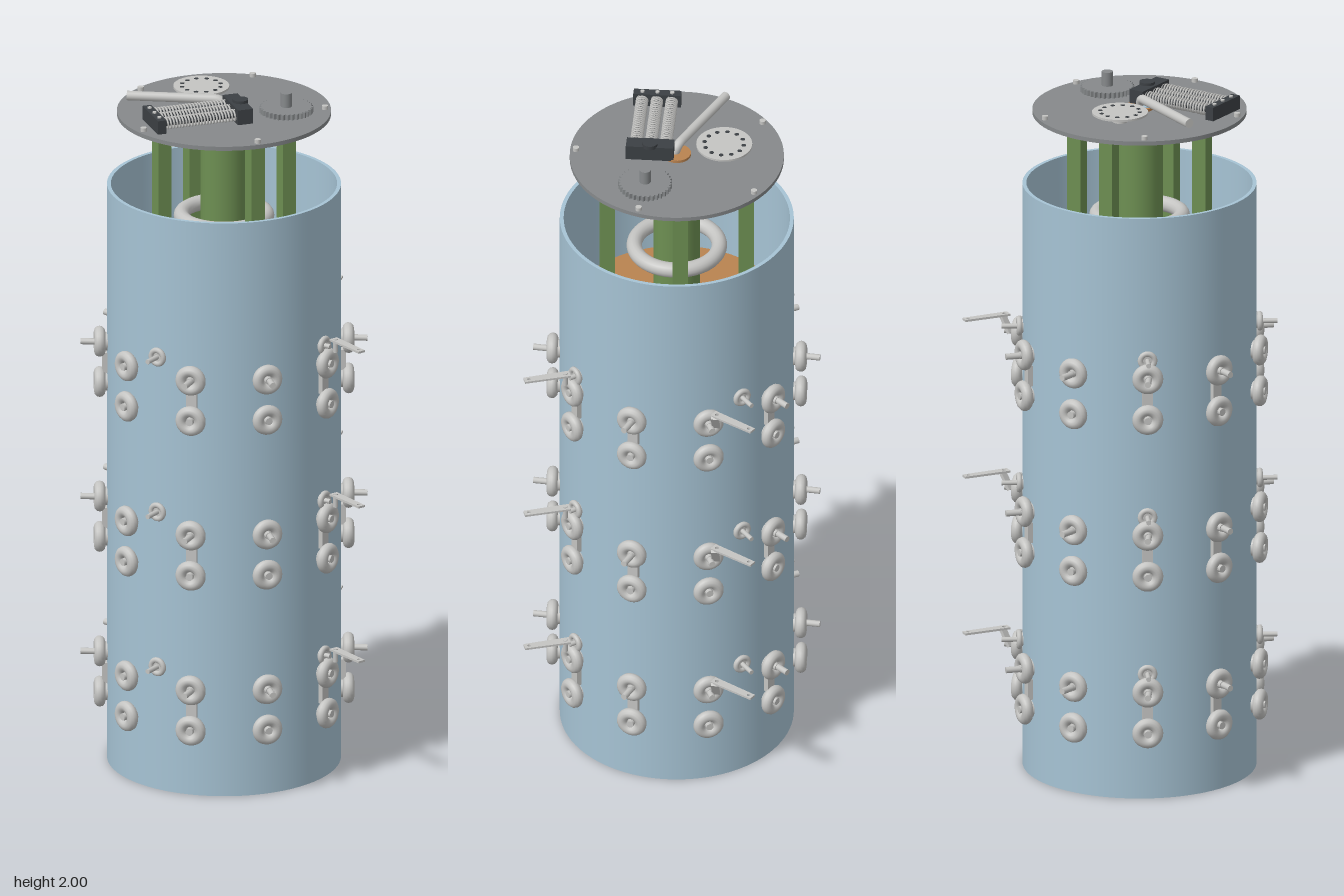
import * as THREE from 'three';
import { toCreasedNormals } from 'three/addons/utils/BufferGeometryUtils.js';

const mat = (name, color) => {
  const m = new THREE.MeshStandardMaterial({ color });
  m.name = name;
  return m;
};

export function createModel() {
  const blue = mat('pale blue', 0xa6c3d4), grey = mat('plate grey', 0x86898b), silver = mat('silver', 0xc4c4c2);
  const green = mat('green', 0x6d8f52), dark = mat('charcoal', 0x3c4044), copper = mat('copper', 0xb98350);

  const model = new THREE.Group();
  model.name = 'vessel';
  const root = new THREE.Group();
  root.name = 'assembly';
  root.position.set(-0.016, 0, 0.007);
  model.add(root);

  const add = (parent, name, geo, material, x = 0, y = 0, z = 0) => {
    const m = new THREE.Mesh(geo, material);
    m.name = name;
    m.position.set(x, y, z);
    parent.add(m);
    return m;
  };
  const cyl = (r, h, n = 24) => new THREE.CylinderGeometry(r, r, h, n);
  const V = (x, y, z) => new THREE.Vector3(x, y, z);
  // flat bar running between two points
  const bar = (parent, name, a, b, w, t, material) => {
    const m = add(parent, name, new THREE.BoxGeometry(w, t, a.distanceTo(b)), material);
    m.position.copy(a).lerp(b, 0.5);
    m.lookAt(b);
    return m;
  };
  // group on the vessel wall whose local +z points outwards
  const onWall = (name, deg, y) => {
    const a = deg * Math.PI / 180, g = new THREE.Group();
    g.name = name;
    g.position.set(0.33 * Math.cos(a), y, 0.33 * Math.sin(a));
    g.rotation.y = Math.PI / 2 - a;
    root.add(g);
    return g;
  };
  const stub = (parent, name, r, z0, z1, n = 20) => {
    const m = add(parent, name, cyl(r, z1 - z0, n), silver, 0, 0, (z0 + z1) / 2);
    m.rotation.x = Math.PI / 2;
    return m;
  };

  // open vessel with a closed floor
  const wall = [[0, 0], [0.33, 0], [0.33, 1.72], [0.319, 1.72], [0.319, 0.012], [0, 0.012]]
    .map(p => new THREE.Vector2(...p));
  add(root, 'vesselWall', toCreasedNormals(new THREE.LatheGeometry(wall, 96), 0.6), blue);

  // inner column, posts, ring and copper trays
  add(root, 'centreColumn', cyl(0.066, 1.9, 32), green, 0, 0.978, 0);
  for (let i = 0; i < 4; i++) {
    const a = (57 + i * 90) * Math.PI / 180;
    const p = add(root, 'supportPost', new THREE.BoxGeometry(0.042, 1.916, 0.042), green,
      0.196 * Math.cos(a), 0.97, 0.196 * Math.sin(a));
    p.rotation.y = -a;
  }
  const ring = add(root, 'innerRing', new THREE.TorusGeometry(0.12, 0.022, 16, 48), silver, 0, 1.625, 0);
  ring.rotation.x = Math.PI / 2;

  // three identical stages of wall ports
  const linked = [27, 99, 171, 207, 279, 351], plain = [27, 135, 315];
  for (let s = 0; s < 3; s++) {
    const y = 0.2 + s * 0.465;
    add(root, 'copperTray', cyl(0.304, 0.01, 64), copper, 0, y + 0.265, 0);
    for (let k = 0; k < 10; k++) {
      const deg = (27 + k * 36) % 360;
      for (const up of [0, 1]) {
        const g = onWall('port', deg, y + up * 0.121);
        add(g, 'portRim', new THREE.TorusGeometry(0.028, 0.016, 12, 28), silver, 0, 0, 0.021);
        stub(g, 'portNeck', 0.026, -0.016, 0.022);
        stub(g, 'portCore', 0.0105, 0, 0.036, 16);
        if (up && !plain.includes(deg)) stub(g, 'portSpout', 0.009, 0.02, 0.075, 12).rotation.z = 0.12;
      }
      if (linked.includes(deg)) {
        const g = onWall('portLink', deg, y + 0.06);
        add(g, 'linkBar', new THREE.BoxGeometry(0.03, 0.06, 0.014), silver, 0, 0, 0.007);
      }
    }
    // small gauge ports
    for (const deg of [27, 117, 207, 297]) {
      const g = onWall('gaugePort', deg, y + 0.172);
      add(g, 'gaugeRim', new THREE.TorusGeometry(0.02, 0.008, 10, 24), silver, 0, 0, 0.01);
      stub(g, 'gaugeNeck', 0.02, -0.01, 0.012);
      stub(g, 'gaugeStem', 0.007, 0, deg === 27 ? 0.03 : 0.06, 12);
    }
    // crank lever with an upright and a drilled arm
    const drilledArm = (name, from, to) => {
      const len = from.distanceTo(to), sh = new THREE.Shape();
      sh.moveTo(0, -0.013).lineTo(len, -0.011).lineTo(len, 0.011).lineTo(0, 0.013).closePath();
      for (const [x, r] of [[0.014, 0.006], [len - 0.014, 0.005]]) {
        const h = new THREE.Path();
        h.absarc(x, 0, r, 0, Math.PI * 2, true);
        sh.holes.push(h);
      }
      const geo = new THREE.ExtrudeGeometry(sh, { depth: 0.006, bevelEnabled: false, curveSegments: 6 });
      geo.rotateX(-Math.PI / 2);
      add(root, name, geo, silver, from.x, from.y, from.z).rotation.y = -Math.atan2(to.z - from.z, to.x - from.x);
    };
    drilledArm('crankArm', V(0.264, y + 0.169, -0.272), V(0.279, y + 0.169, -0.41));
    bar(root, 'crankUpright', V(0.264, y + 0.115, -0.28), V(0.264, y + 0.174, -0.28), 0.022, 0.009, silver);
    stub(onWall('crankHub', 315, y + 0.121), 'crankPin', 0.009, 0.02, 0.062, 12);
    drilledArm('gaugeArm', V(0.328, y + 0.19, 0.158), V(0.42, y + 0.19, 0.253));
    add(root, 'gaugeArmPin', cyl(0.007, 0.04, 12), silver, 0.336, y + 0.178, 0.168);
  }

  // lid
  add(root, 'lidPlate', cyl(0.302, 0.012, 80), grey, 0, 1.934, 0);
  for (let i = 0; i < 5; i++) {
    const a = (-80 + i * 72) * Math.PI / 180;
    add(root, 'lidBolt', cyl(0.009, 0.022, 12), silver, 0.285 * Math.cos(a), 1.94, 0.285 * Math.sin(a));
  }
  add(root, 'copperSeat', cyl(0.04, 0.008, 32), copper, 0, 1.944, 0);
  add(root, 'pipeCollar', cyl(0.022, 0.008, 24), blue, -0.01, 1.947, 0.018);

  // perforated disc
  const disc = new THREE.Group();
  disc.name = 'perforatedDisc';
  disc.position.set(-0.077, 1.968, -0.11);
  root.add(disc);
  add(disc, 'discPlate', cyl(0.079, 0.006, 48), silver);
  add(disc, 'discFoot', cyl(0.02, 0.028, 16), silver, 0, -0.015, 0);
  for (let i = 0; i < 12; i++) {
    const a = (i + 0.3) * Math.PI / 6;
    add(disc, 'discHole', cyl(0.0065, 0.0075, 12), dark, 0.056 * Math.cos(a), 0, 0.056 * Math.sin(a));
  }

  // gear and its shaft
  const teeth = 34, gearShape = new THREE.Shape();
  for (let i = 0; i < teeth; i++) {
    [[0, 0.07], [0.3, 0.076], [0.55, 0.076], [0.85, 0.07]].forEach(([f, r], j) => {
      const a = (i + f) * Math.PI * 2 / teeth;
      gearShape[i || j ? 'lineTo' : 'moveTo'](r * Math.cos(a), r * Math.sin(a));
    });
  }
  const gear = new THREE.ExtrudeGeometry(gearShape, { depth: 0.016, bevelEnabled: false });
  gear.rotateX(-Math.PI / 2);
  add(root, 'gear', gear, grey, 0.177, 1.943, 0);
  add(root, 'gearShaft', cyl(0.016, 0.06, 24), grey, 0.177, 1.97, 0);

  // bent pipe
  const pipe = new THREE.CurvePath();
  pipe.add(new THREE.LineCurve3(V(-0.274, 1.972, 0), V(-0.025, 1.972, 0)));
  pipe.add(new THREE.QuadraticBezierCurve3(V(-0.025, 1.972, 0), V(0, 1.972, 0), V(0, 1.944, 0.006)));
  add(root, 'bentPipe', new THREE.TubeGeometry(pipe, 40, 0.0135, 16), silver);
  const cap = add(root, 'pipeEnd', cyl(0.0135, 0.002, 16), silver, -0.274, 1.972, 0);
  cap.rotation.z = Math.PI / 2;

  // coil pack: three springs between two blocks, local x along the springs
  const pack = new THREE.Group();
  pack.name = 'coilPack';
  pack.position.set(0.046, 1.966, 0.06);
  pack.rotation.y = Math.PI + Math.atan2(0.105, 0.22);
  root.add(pack);
  add(pack, 'nearBlock', new THREE.BoxGeometry(0.044, 0.044, 0.135), dark);
  add(pack, 'farBlock', new THREE.BoxGeometry(0.026, 0.04, 0.135), dark, 0.248, -0.002, 0);
  add(pack, 'blockKnob', cyl(0.022, 0.012, 24), dark, -0.008, 0.024, 0);
  class Helix extends THREE.Curve {
    getPoint(t, out = new THREE.Vector3()) {
      const a = t * Math.PI * 2 * 24;
      return out.set(0.02 + t * 0.218, 0.0155 * Math.cos(a), 0.0155 * Math.sin(a));
    }
  }
  const spring = new THREE.TubeGeometry(new Helix(), 24 * 14, 0.0028, 5);
  for (const z of [-0.042, 0, 0.042]) {
    add(pack, 'spring', spring, silver, 0, 0, z);
    const rod = add(pack, 'springRod', cyl(0.008, 0.24, 12), dark, 0.13, 0, z);
    rod.rotation.z = Math.PI / 2;
    add(pack, 'blockBolt', cyl(0.006, 0.006, 10), silver, 0.248, 0.019, z);
  }
  return model;
}
